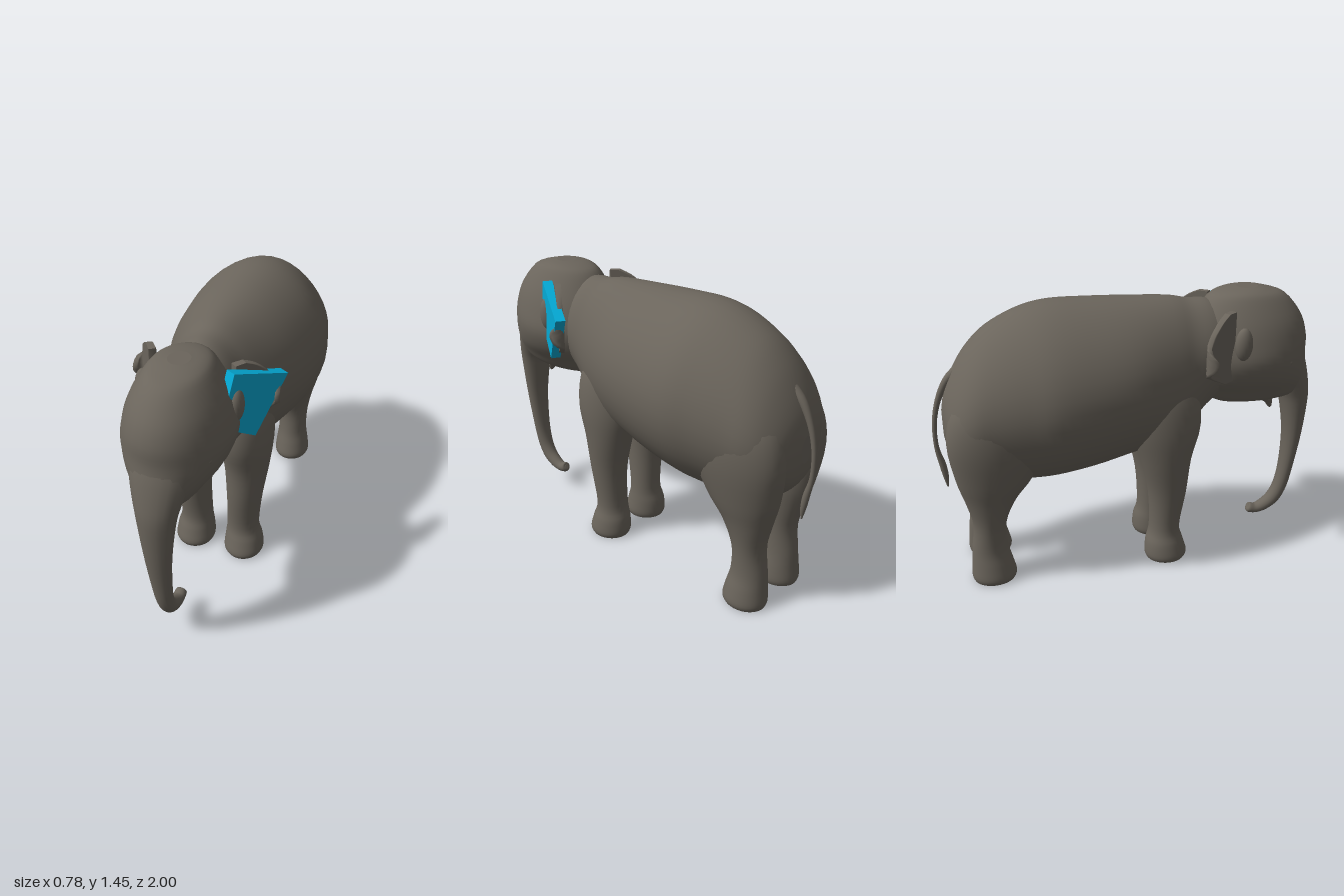
import * as THREE from 'three';

const skin = new THREE.MeshStandardMaterial({ color: 0x6b655c });
skin.name = 'greySkin';
const blue = new THREE.MeshStandardMaterial({ color: 0x04aad6 });
blue.name = 'blueTag';

// Smoothly resample rows of section numbers, column by column
function resample(rows, per = 4) {
  const out = [];
  const n = rows.length;
  const row = i => rows[Math.min(n - 1, Math.max(0, i))];
  for (let i = 0; i < n - 1; i++) {
    for (let k = 0; k < per; k++) {
      const t = k / per;
      out.push(row(i).map((b, c) => {
        const a = row(i - 1)[c], d = row(i + 1)[c], e = row(i + 2)[c];
        return b + 0.5 * t * (d - a + t * (2 * a - 5 * b + 4 * d - e + t * (3 * (b - d) + e - a)));
      }));
    }
  }
  out.push(rows[n - 1]);
  return out;
}

// Closed skin through rings of points, with separate end caps
function loft(rings) {
  const n = rings[0].length, pos = [], idx = [];
  const add = p => pos.push(p.x, p.y, p.z) / 3 - 1;
  rings.forEach(r => r.forEach(add));
  for (let i = 0; i < rings.length - 1; i++) {
    for (let j = 0; j < n; j++) {
      const a = i * n + j, b = i * n + (j + 1) % n;
      idx.push(a, b, a + n, b, b + n, a + n);
    }
  }
  [rings[0], rings[rings.length - 1]].forEach((r, e) => {
    const mid = new THREE.Vector3();
    r.forEach(p => mid.addScaledVector(p, 1 / n));
    const c = add(mid), s = c + 1;
    r.forEach(add);
    for (let j = 0; j < n; j++) {
      const a = s + j, b = s + (j + 1) % n;
      if (e) idx.push(c, a, b); else idx.push(c, b, a);
    }
  });
  // Turn the faces outward if the enclosed volume is negative
  const v = i => new THREE.Vector3(pos[3 * i], pos[3 * i + 1], pos[3 * i + 2]);
  let vol = 0;
  for (let i = 0; i < idx.length; i += 3) vol += v(idx[i]).dot(v(idx[i + 1]).cross(v(idx[i + 2])));
  if (vol < 0) idx.reverse();
  const g = new THREE.BufferGeometry();
  g.setAttribute('position', new THREE.Float32BufferAttribute(pos, 3));
  g.setIndex(idx);
  g.computeVertexNormals();
  return g;
}

function ring(fn, n = 32) {
  return Array.from({ length: n }, (_, i) => {
    const a = i / n * Math.PI * 2;
    return fn(Math.cos(a), Math.sin(a));
  });
}

// Rows: y, z max, z min, x max, x min
const upright = rows => loft(resample(rows).map(([y, z1, z0, x1, x0]) => ring((c, s) =>
  new THREE.Vector3((x1 + x0) / 2 + c * (x1 - x0) / 2, y, (z1 + z0) / 2 + s * (z1 - z0) / 2))));

// Rows: y, z, half width, half depth; a tapered tube bending in the middle plane
function bentTube(rows) {
  const p = resample(rows);
  return loft(p.map(([y, z, w, r], i) => {
    const a = p[Math.max(0, i - 1)], b = p[Math.min(p.length - 1, i + 1)];
    const dy = b[0] - a[0], dz = b[1] - a[1], l = Math.hypot(dy, dz);
    return ring((c, s) => new THREE.Vector3(c * w, y + s * r * dz / l, z - s * r * dy / l), 20);
  }));
}

// Ear sheet following one curve seen from above, curled at its widest;
// each row is a height and how far along the curve the ear reaches
function earGeometry(side) {
  const curve = new THREE.CatmullRomCurve3([
    [0.19, 0.48], [0.24, 0.415], [0.28, 0.365], [0.317, 0.318], [0.345, 0.325], [0.352, 0.36],
  ].map(([x, z]) => new THREE.Vector3(x, 0, z)));
  const rows = resample([[1.374, 0.2], [1.345, 0.42], [1.3, 0.62], [1.25, 0.74], [1.2, 0.93], [1.16, 1],
    [1.11, 0.86], [1.06, 0.55], [1.02, 0.25]], 3);
  const steps = 14;
  return loft(rows.map(([y, reach]) => {
    const offset = d => Array.from({ length: steps + 1 }, (_, i) => {
      const u = Math.min(1, reach) * i / steps, p = curve.getPointAt(u), t = curve.getTangentAt(u);
      const h = d * (1.6 - 0.7 * u);
      return new THREE.Vector3(side * (p.x - t.z * h), y, p.z + t.x * h);
    });
    return [...offset(0.011), ...offset(-0.011).reverse()];
  }));
}

export function createModel() {
  const model = new THREE.Group();
  model.name = 'elephant';
  const add = (name, geometry, material = skin) => {
    const m = new THREE.Mesh(geometry, material);
    m.name = name;
    model.add(m);
    return m;
  };

  // Torso and neck, slightly pinched above and below: z, top, bottom, half width
  const torso = [
    [0.5, 1.36, 0.9, 0.17], [0.4, 1.395, 0.82, 0.195], [0.3, 1.402, 0.7, 0.22], [0.2, 1.42, 0.63, 0.262],
    [0, 1.43, 0.6, 0.335], [-0.2, 1.437, 0.555, 0.373], [-0.4, 1.437, 0.525, 0.388], [-0.55, 1.405, 0.52, 0.36],
    [-0.7, 1.33, 0.53, 0.325], [-0.8, 1.235, 0.56, 0.298], [-0.87, 1.13, 0.61, 0.25], [-0.92, 1.02, 0.68, 0.17],
    [-0.943, 0.92, 0.78, 0.04],
  ];
  add('torso', loft(resample(torso).map(([z, t, b, w]) => ring((c, s) =>
    new THREE.Vector3(c * w * (1 - 0.12 * s * s), (t + b) / 2 + s * (t - b) / 2, z), 40))));

  // Head
  add('head', upright([
    [1.445, 0.67, 0.56, 0.05], [1.433, 0.73, 0.48, 0.105], [1.4, 0.82, 0.41, 0.145], [1.3, 0.905, 0.35, 0.202],
    [1.2, 0.942, 0.31, 0.235], [1.1, 0.945, 0.3, 0.25], [1.0, 0.96, 0.32, 0.22], [0.92, 0.965, 0.38, 0.165],
    [0.86, 0.92, 0.44, 0.12], [0.83, 0.8, 0.5, 0.05],
  ].map(r => [...r, -r[3]])));

  // Trunk with a curled tip, lower lip and tail
  add('trunk', bentTube([
    [1.1, 0.83, 0.14, 0.1], [1.0, 0.868, 0.135, 0.098], [0.9, 0.905, 0.112, 0.085], [0.8, 0.925, 0.09, 0.075],
    [0.6, 0.933, 0.067, 0.053], [0.4, 0.917, 0.052, 0.04], [0.27, 0.893, 0.044, 0.039], [0.19, 0.855, 0.04, 0.039],
    [0.145, 0.8, 0.036, 0.034], [0.128, 0.75, 0.031, 0.028], [0.137, 0.71, 0.028, 0.028], [0.14, 0.702, 0.01, 0.012],
  ]));
  add('lowerLip', bentTube([
    [0.9, 0.6, 0.1, 0.06], [0.87, 0.69, 0.075, 0.045], [0.84, 0.745, 0.05, 0.035], [0.81, 0.775, 0.03, 0.025],
    [0.77, 0.79, 0.012, 0.012], [0.76, 0.793, 0.004, 0.004],
  ]));
  add('tail', bentTube([
    [1.13, -0.84, 0.03, 0.025], [1.07, -0.905, 0.022, 0.02], [0.97, -0.955, 0.015, 0.015], [0.85, -0.983, 0.012, 0.012],
    [0.72, -0.985, 0.012, 0.012], [0.62, -0.965, 0.016, 0.017], [0.55, -0.955, 0.014, 0.014], [0.49, -0.95, 0.004, 0.004],
  ]));

  const frontLeg = [
    [0, 0.28, 0.07, 0.24, 0.045], [0.03, 0.29, 0.06, 0.25, 0.035], [0.1, 0.27, 0.065, 0.24, 0.04],
    [0.19, 0.25, 0.085, 0.22, 0.048], [0.4, 0.28, 0.075, 0.238, 0.05], [0.6, 0.3, 0.03, 0.265, 0.035],
    [0.78, 0.345, -0.02, 0.28, 0.01], [0.95, 0.33, -0.03, 0.262, 0], [1.1, 0.25, 0.03, 0.2, 0.02],
  ];
  const hindLeg = [
    [0, -0.65, -0.865, 0.23, 0.045], [0.03, -0.64, -0.873, 0.24, 0.035], [0.1, -0.655, -0.868, 0.23, 0.04],
    [0.19, -0.675, -0.86, 0.215, 0.048], [0.33, -0.675, -0.845, 0.22, 0.045], [0.47, -0.615, -0.875, 0.245, 0.03],
    [0.6, -0.52, -0.91, 0.28, 0.015], [0.8, -0.43, -0.935, 0.316, 0.01], [0.97, -0.45, -0.9, 0.305, 0],
    [1.12, -0.55, -0.8, 0.22, 0.02],
  ];
  const ball = new THREE.SphereGeometry(1, 20, 14);
  for (const side of [1, -1]) {
    const label = side > 0 ? 'left' : 'right';
    const mirror = rows => rows.map(([y, a, b, c, d]) => [y, a, b, c * side, d * side]);
    add(label + 'FrontLeg', upright(mirror(frontLeg)));
    add(label + 'HindLeg', upright(mirror(hindLeg)));
    add(label + 'Ear', earGeometry(side));
    // Soft swelling where the ear joins the head
    const earBase = add(label + 'EarBase', ball);
    earBase.position.set(side * 0.222, 1.21, 0.53);
    earBase.scale.set(0.036, 0.085, 0.045);
    const eye = add(label + 'Eye', ball);
    eye.position.set(side * 0.19, 1.09, 0.79);
    eye.scale.setScalar(0.022);
  }

  // Slanted plate through the left ear, its front corner sunk into the head
  const plate = new THREE.Shape([[-0.125, 0.378], [-0.2, 0.13], [0, 0], [0.187, 0.26]].map(p => new THREE.Vector2(...p)));
  const tag = new THREE.ExtrudeGeometry(plate, { depth: 0.05, bevelEnabled: false });
  tag.translate(0, 0, -0.05);
  const tagMesh = add('earTag', tag, blue);
  tagMesh.rotation.y = Math.PI / 3;
  tagMesh.position.set(0.285, 1.0, 0.448);

  return model;
}
